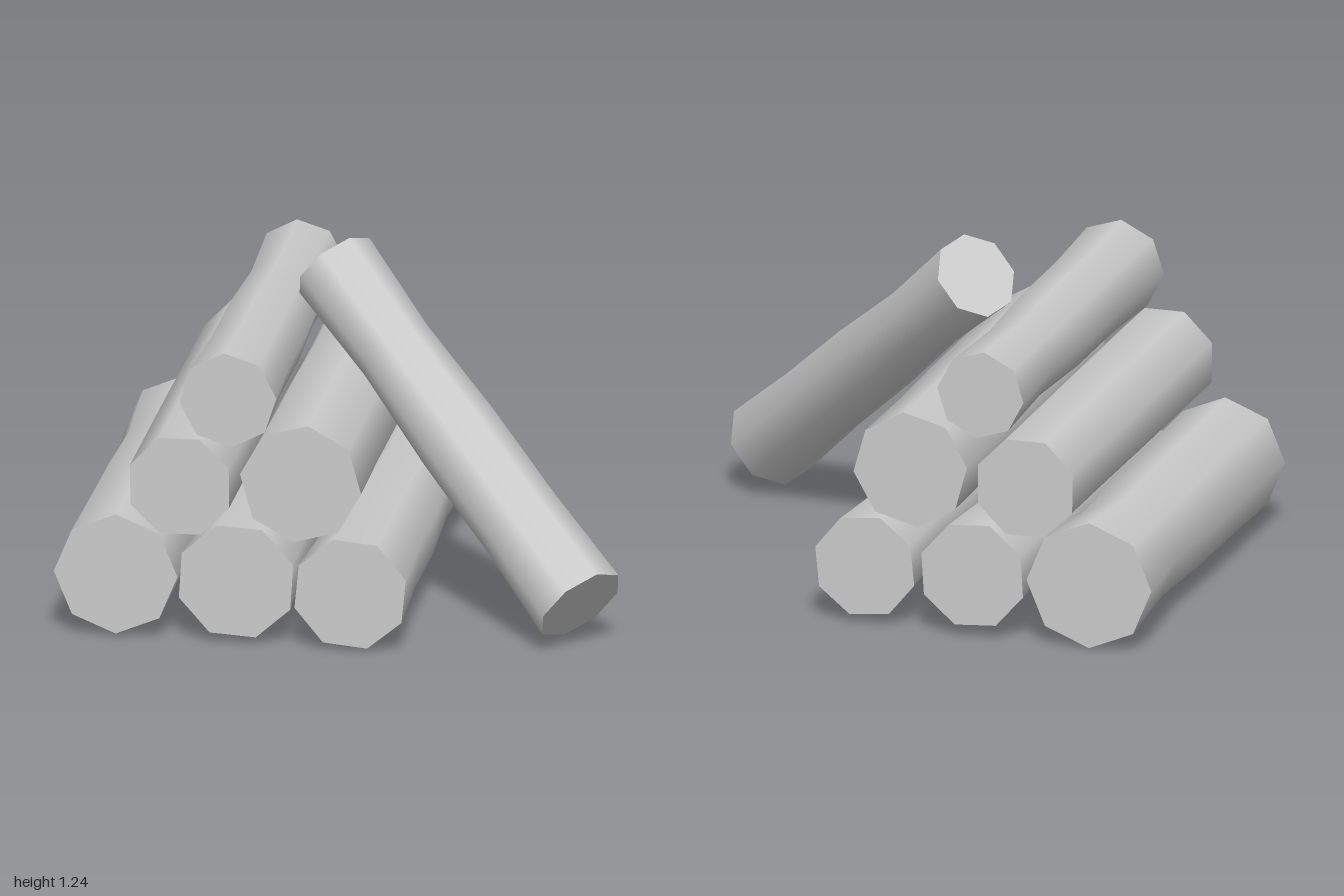
import * as THREE from 'three';

// Radius factors of the rings from the front end to the back end
const WAISTED = [1, 0.92, 0.92, 0.83, 0.92];
const FLARED = [1, 0.98, 0.97, 0.92, 1.045];
const SLIGHT = [1, 0.98, 0.98, 0.955, 0.97];
const STRAIGHT = [1, 1, 1, 0.99, 0.99];

const material = new THREE.MeshStandardMaterial({ color: 0xcccccc });

// Eight-sided log between two points; `corner` is the direction of one of its edges
function makeLog(name, front, back, radius, corner, profile) {
  const axis = front.clone().sub(back);
  const geometry = new THREE.CylinderGeometry(1, 1, axis.length(), 8, 4);
  const pos = geometry.attributes.position;
  const length = axis.length();
  for (let i = 0; i < pos.count; i++) {
    const ring = Math.round((0.5 - pos.getY(i) / length) * 4);
    const r = radius * profile[ring];
    pos.setXYZ(i, pos.getX(i) * r, pos.getY(i), pos.getZ(i) * r);
  }

  // Turn the cylinder onto its axis with a corner facing the given direction
  const y = axis.normalize();
  const z = corner.clone().addScaledVector(y, -corner.dot(y)).normalize();
  const x = new THREE.Vector3().crossVectors(y, z);
  const mesh = new THREE.Mesh(geometry, material);
  mesh.name = name;
  mesh.quaternion.setFromRotationMatrix(new THREE.Matrix4().makeBasis(x, y, z));
  mesh.position.copy(front).add(back).multiplyScalar(0.5);
  return mesh;
}

export function createModel() {
  const group = new THREE.Group();
  group.name = 'logPile';

  // Stacked logs: name, x, y, front z, back z, radius, corner angle, profile
  const stack = [
    ['bottomRightLog', -0.77, 0.235, 0.78, -0.81, 0.22, 90, FLARED],
    ['bottomMiddleLog', -0.34, 0.233, 0.79, -0.81, 0.215, 109, WAISTED],
    ['bottomLeftLog', 0.07, 0.215, 0.815, -0.765, 0.207, 107, WAISTED],
    ['middleRightLog', -0.54, 0.575, 0.795, -0.825, 0.19, 113, STRAIGHT],
    ['middleLeftLog', -0.112, 0.6, 0.78, -0.81, 0.217, 83, SLIGHT],
    ['topLog', -0.37, 0.898, 0.785, -0.81, 0.173, 95, WAISTED],
  ];
  for (const [name, x, y, zFront, zBack, radius, degrees, profile] of stack) {
    const a = THREE.MathUtils.degToRad(degrees);
    group.add(makeLog(
      name,
      new THREE.Vector3(x, y, zFront),
      new THREE.Vector3(x, y, zBack),
      radius,
      new THREE.Vector3(Math.cos(a), Math.sin(a), 0),
      profile,
    ));
  }

  // Log leaning against the pile
  group.add(makeLog(
    'leaningLog',
    new THREE.Vector3(0.867, 0.175, 0.68),
    new THREE.Vector3(-0.14, 1.115, -0.133),
    0.17,
    new THREE.Vector3(0.128, 0.105, -0.04),
    WAISTED,
  ));

  return group;
}
